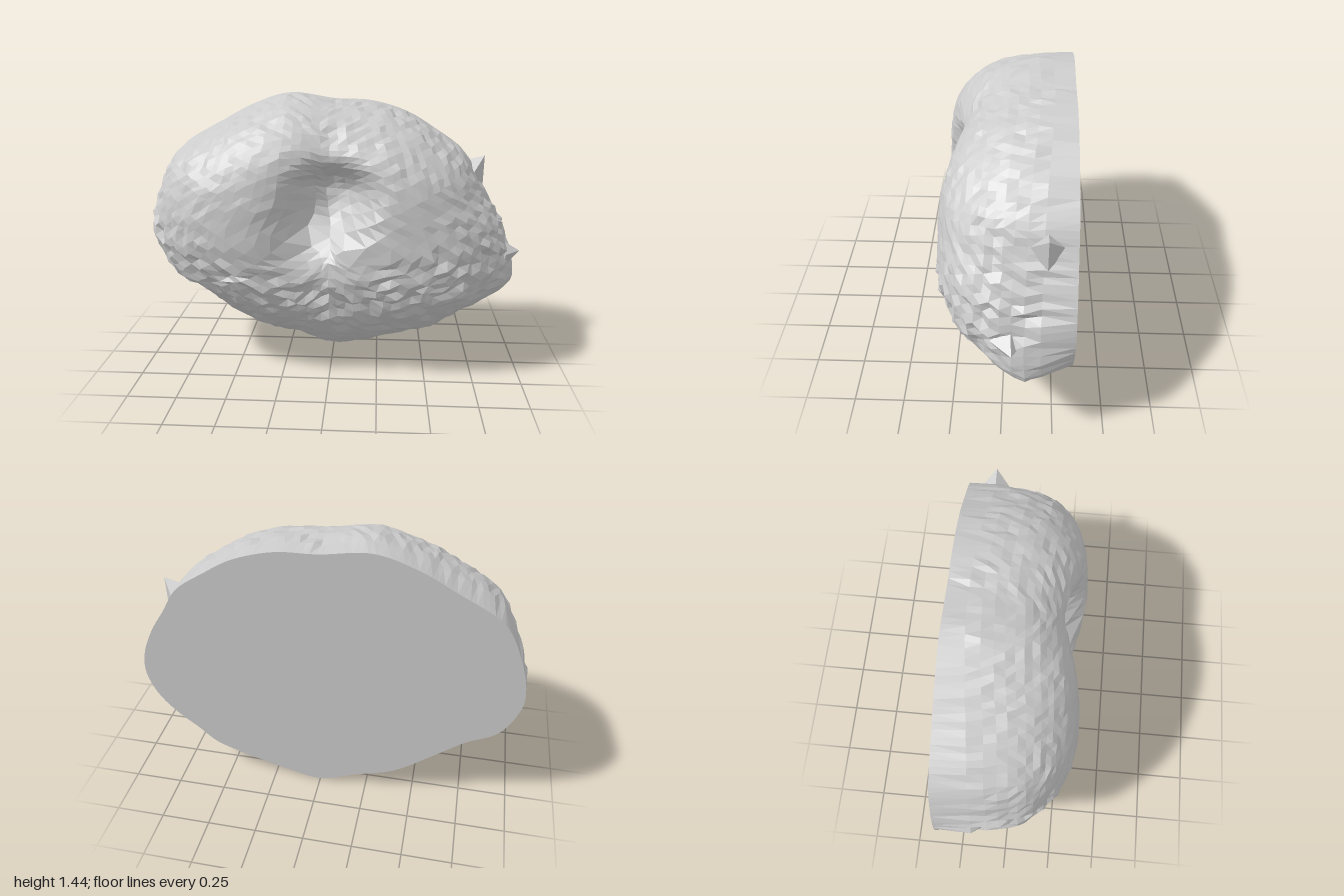
import * as THREE from 'three';

const BACK = -0.33, DEPTH = 0.672, CX = 0, CY = 0.75;
const RINGS = 26; // ring r carries 6r vertices, so facets stay even in size

// silhouette of the flat back, counter-clockwise from the lowest point
const OUTLINE = [
  [0, 0], [0.2, 0.04], [0.4, 0.1], [0.58, 0.17], [0.67, 0.25], [0.79, 0.35], [0.88, 0.46],
  [0.93, 0.6], [0.92, 0.72], [0.86, 0.87], [0.78, 1.0], [0.7, 1.13], [0.55, 1.24], [0.4, 1.33],
  [0.2, 1.39], [0, 1.4], [-0.25, 1.43], [-0.45, 1.37], [-0.62, 1.28], [-0.85, 1.14],
  [-0.93, 1.0], [-0.99, 0.8], [-0.99, 0.68], [-0.9, 0.5], [-0.75, 0.41], [-0.6, 0.29],
  [-0.4, 0.14], [-0.2, 0.07],
];

// torn flakes on the right side: base centre, tip, base radius
const FLAKES = [
  [[0.72, 1.0, -0.2], [0.81, 1.115, -0.2], 0.11],
  [[0.9, 0.62, -0.03], [1.0, 0.63, -0.05], 0.08],
];

function seeded(seed) {
  return () => {
    seed = (seed * 1664525 + 1013904223) % 4294967296;
    return seed / 2147483648 - 1;
  };
}

// how far the front is pressed in: a broad valley plus a hole with a steep upper lip
function dimple(x, y) {
  const valley = 0.07 * Math.exp(-(((x + 0.03) / 0.26) ** 2) - ((y - 0.85) / 0.4) ** 2);
  const u = (x - 0.01 + 0.4 * Math.max(0, 0.95 - y)) / 0.19;
  const v = (y - 0.97) / (y > 0.97 ? 0.14 : 0.28);
  return valley + 0.2 * Math.exp(-((u * u + v * v) ** 1.6));
}

// height of the crust line that runs across the lower front and up both sides
const crustLine = (x) => 0.42 + 0.4 * Math.abs(x) ** 1.5;

// lobe that overhangs the back edge low on the right
function lobe(p) {
  const dx = (p.x - 0.88) / 0.22, dy = (p.y - 0.46) / 0.16, dz = (p.z + 0.1) / 0.14;
  return 0.09 * Math.exp(-dx * dx - dy * dy - dz * dz);
}

function bunGeometry() {
  const rand = seeded(7);
  const curve = new THREE.CatmullRomCurve3(
    OUTLINE.map(([x, y]) => new THREE.Vector3(x, y, 0)), true);
  const pos = [CX, CY, BACK + DEPTH - dimple(CX, CY)];
  const index = [];
  const start = (r) => (r === 0 ? 0 : 1 + 3 * r * (r - 1));

  for (let r = 1; r <= RINGS; r++) {
    const phi = (Math.PI / 2) * (r / RINGS) ** 1.25;
    for (let i = 0; i < 6 * r; i++) {
      const rim = curve.getPointAt(i / (6 * r));
      const dx = rim.x - CX, dy = rim.y - CY;
      // squarer shoulders at the sides, rounder underneath
      const side = dx * dx / (dx * dx + dy * dy);
      const n = (dx > 0 ? 3.5 : 3.9) * side + (dy > 0 ? 2.75 : 1.97) * (1 - side);
      const h = r === RINGS ? 0 : Math.cos(phi) ** (2 / n);
      const taper = dx < 0 ? 1 - 0.05 * side * h : 1;
      const s = Math.sin(phi) ** (2 / n) * taper;
      const p = new THREE.Vector3(CX + dx * s, CY + dy * s, BACK + DEPTH * h);
      p.z -= dimple(p.x, p.y) * Math.min(1, 1.5 * h);

      if (r < RINGS) {
        // gentle lumps everywhere, sharp crumbs along the crust line
        const below = crustLine(p.x) - p.y;
        const rough = Math.exp(-((below / (0.1 + 0.12 * Math.max(0, p.x))) ** 2));
        const lump = 0.007 * Math.sin(9 * p.x + 4 * p.y) * Math.sin(8 * p.y - 5 * p.z);
        const out = new THREE.Vector3(dx * s, dy * s, h * 0.8).normalize();
        const step = below > 0 ? 0.01 * h : 0;
        const bulge = lobe(p);
        p.addScaledVector(out, lump - step + rand() * (0.004 + 0.016 * rough));
        p.x += bulge + rand() * 0.006;
        p.y += rand() * 0.006 - 0.4 * bulge;
        p.z = Math.max(p.z, BACK + 0.005);
      }
      pos.push(p.x, p.y, p.z);
    }
  }

  // six triangular sectors between neighbouring rings
  for (let r = 1; r <= RINGS; r++) {
    const inner = (k) => start(r - 1) + (r === 1 ? 0 : k % (6 * (r - 1)));
    const outer = (k) => start(r) + (k % (6 * r));
    for (let sector = 0; sector < 6; sector++) {
      for (let j = 0; j < r; j++) {
        const a = sector * (r - 1) + j, b = sector * r + j;
        index.push(inner(a), outer(b), outer(b + 1));
        if (j < r - 1) index.push(inner(a), outer(b + 1), inner(a + 1));
      }
    }
  }

  // flat back
  const hub = pos.length / 3, last = start(RINGS), count = 6 * RINGS;
  pos.push(CX, CY, BACK);
  for (let i = 0; i < count; i++) index.push(hub, last + ((i + 1) % count), last + i);

  const geo = new THREE.BufferGeometry();
  geo.setAttribute('position', new THREE.Float32BufferAttribute(pos, 3));
  geo.setIndex(index);
  geo.computeVertexNormals();
  return geo;
}

// four-sided shard standing between a base point and a tip
function flake([base, tip, radius], material) {
  const from = new THREE.Vector3(...base), to = new THREE.Vector3(...tip);
  const axis = to.clone().sub(from);
  const mesh = new THREE.Mesh(new THREE.ConeGeometry(radius, axis.length(), 4), material);
  mesh.position.copy(from).add(to).multiplyScalar(0.5);
  mesh.quaternion.setFromUnitVectors(new THREE.Vector3(0, 1, 0), axis.normalize());
  mesh.name = 'crustFlake';
  return mesh;
}

export function createModel() {
  const group = new THREE.Group();
  group.name = 'halvedBun';
  const material = new THREE.MeshStandardMaterial({ color: 0xcccccc, flatShading: true });
  const bun = new THREE.Mesh(bunGeometry(), material);
  bun.name = 'dimpledBunHalf';
  group.add(bun, ...FLAKES.map((f) => flake(f, material)));
  return group;
}
